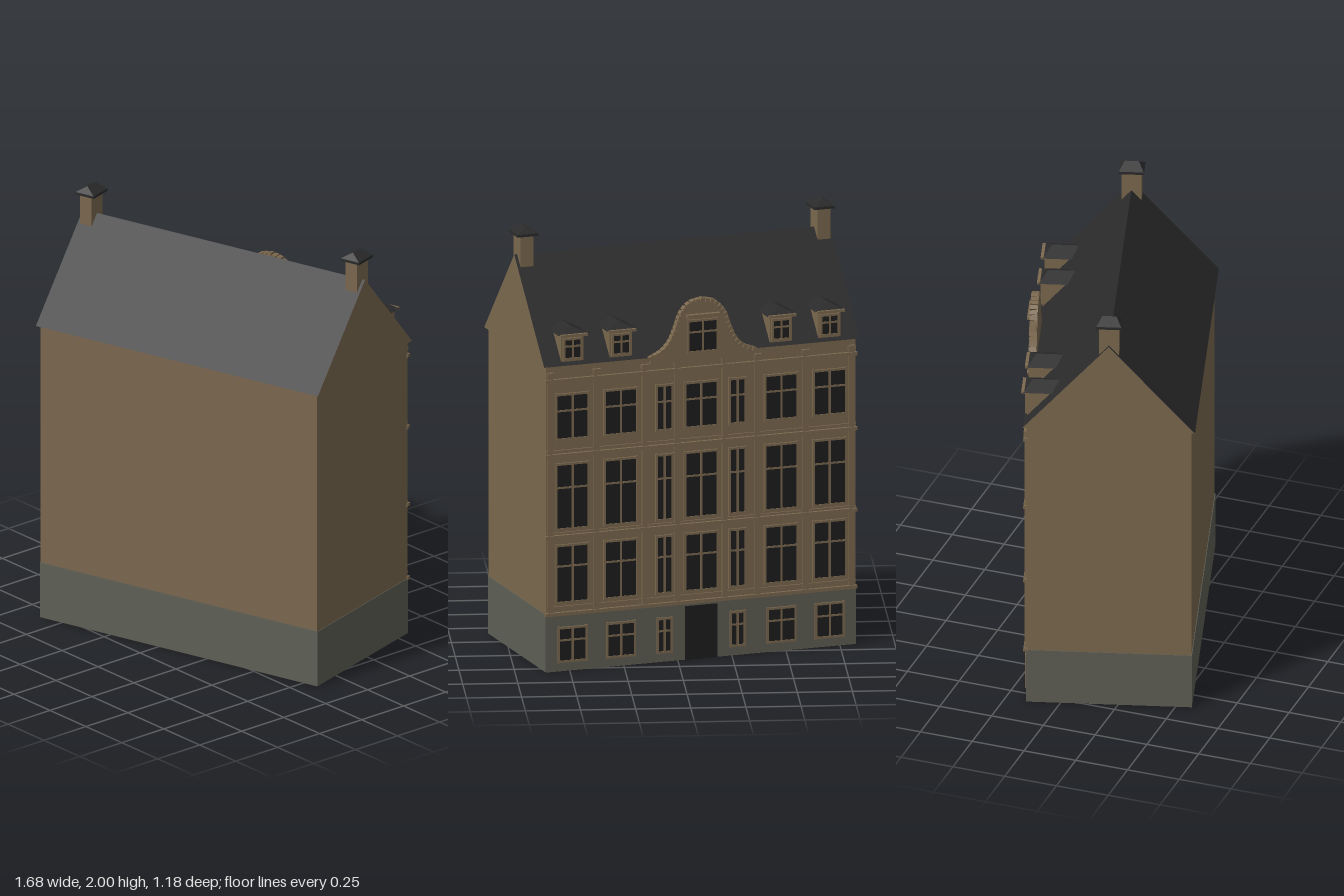
import * as THREE from 'three';
import { ConvexGeometry } from 'three/addons/geometries/ConvexGeometry.js';

const mat = (name, color) => Object.assign(new THREE.MeshStandardMaterial({ color }), { name });

export function createModel() {
  const brick = mat('brown brick', 0x7b684e);
  const stone = mat('grey stone', 0x5e5f55);
  const slate = mat('dark slate', 0x2a2a2a);
  const glass = mat('dark glass', 0x1d1d1f);

  const root = new THREE.Group();
  root.name = 'townHouse';
  const house = new THREE.Group();
  house.name = 'house';
  house.rotation.y = 0.2865; // the house stands turned on its plot
  root.add(house);

  const add = (parent, name, geometry, material, x = 0, y = 0, z = 0) => {
    const m = new THREE.Mesh(geometry, material);
    m.name = name;
    m.position.set(x, y, z);
    parent.add(m);
    return m;
  };
  const box = (parent, name, material, w, h, d, x, y, z) =>
    add(parent, name, new THREE.BoxGeometry(w, h, d), material, x, y, z);
  const group = (parent, name, x = 0, y = 0, z = 0) => {
    const g = new THREE.Group();
    g.name = name;
    g.position.set(x, y, z);
    parent.add(g);
    return g;
  };
  // Hipped roof: base w x d, ridge along z from zBack to zFront
  const hip = (w, d, h, zBack, zFront) => new ConvexGeometry([
    [-w / 2, 0, -d / 2], [w / 2, 0, -d / 2], [-w / 2, 0, d / 2], [w / 2, 0, d / 2],
    [0, h, zBack], [0, h, zFront],
  ].map((p) => new THREE.Vector3(...p)));

  // Walls and stone base
  const L = 1.492, D = 0.747, EAVE = 1.43, RIDGE = 1.865;
  box(house, 'walls', brick, L, EAVE, D, 0, EAVE / 2, 0);
  box(house, 'stoneBase', stone, L + 0.006, 0.267, D + 0.006, 0, 0.1355, 0);

  // Main roof: slate slopes with brown gable ends
  const tri = new THREE.Shape();
  tri.moveTo(-0.391, EAVE);
  tri.lineTo(0.391, EAVE);
  tri.lineTo(0, RIDGE);
  tri.closePath();
  const roofGeo = new THREE.ExtrudeGeometry(tri, { depth: 1.522, bevelEnabled: false });
  roofGeo.translate(0, 0, -0.761).rotateY(Math.PI / 2);
  add(house, 'mainRoof', roofGeo, [brick, slate]);

  // Chimneys at both ends of the ridge
  for (const s of [-1, 1]) {
    const c = group(house, 'chimney', s * 0.716, 0, 0);
    box(c, 'chimneyStack', brick, 0.062, 0.17, 0.091, 0, 1.875, 0);
    box(c, 'chimneyCapSlab', slate, 0.1, 0.012, 0.115, 0, 1.963, 0);
    add(c, 'chimneyCapRoof', hip(0.1, 0.115, 0.032, -0.032, 0.032), slate, 0, 1.968, 0);
  }

  // Facade group: looks towards the back, local +z is outwards
  const facade = group(house, 'facade');
  facade.rotation.y = Math.PI;
  const W = D / 2;

  // Window: glass plate, frame bars and a cross of glazing bars
  const windowAt = (parent, x, y0, y1, w, z) => {
    const h = y1 - y0;
    const g = group(parent, 'window', x, (y0 + y1) / 2, z);
    box(g, 'windowGlass', glass, w, h, 0.006, 0, 0, 0.001);
    for (const s of [-1, 1]) {
      box(g, 'frameSide', brick, 0.01, h + 0.02, 0.012, s * (w / 2 + 0.003), 0, 0.002);
      box(g, 'frameRail', brick, w + 0.016, 0.01, 0.012, 0, s * (h / 2 + 0.003), 0.002);
    }
    box(g, 'mullion', brick, 0.01, h, 0.009, 0, 0, 0.002);
    box(g, 'transom', brick, w, 0.009, 0.009, 0, h * 0.14, 0.002);
  };

  // Window rows
  const columns = [[-0.62, 0.15], [-0.387, 0.15], [-0.176, 0.072], [0, 0.15],
    [0.176, 0.072], [0.387, 0.15], [0.62, 0.15]];
  const floors = [[0.05, 0.2], [0.325, 0.585], [0.668, 0.965], [1.088, 1.29]];
  for (const [x, w] of columns) {
    floors.forEach(([y0, y1], i) => {
      if (i === 0 && x === 0) return; // the door is here
      windowAt(facade, x, y0, y1, i === 0 ? w * 0.85 : w, i === 0 ? W + 0.004 : W + 0.002);
    });
  }
  box(facade, 'door', glass, 0.155, 0.25, 0.008, 0, 0.126, W + 0.004);

  // Horizontal bands between floors
  for (const y of [0.27, 0.63, 1.01, 1.36])
    box(facade, 'floorBand', brick, 1.502, 0.016, 0.022, 0, y, W + 0.004);
  for (const y of [0.305, 0.65, 1.035])
    box(facade, 'sillBand', brick, L, 0.008, 0.012, 0, y - 0.004, W + 0.002);

  // Pilasters with capitals
  for (const x of [0.726, 0.504, 0.272, 0.114]) {
    for (const s of [-1, 1]) {
      box(facade, 'pilaster', brick, 0.026, 1.13, 0.014, s * x, 0.835, W + 0.002);
      box(facade, 'capital', brick, 0.034, 0.02, 0.02, s * x, 1.39, W + 0.004);
    }
  }

  // Curved centre gable with block trim along its edge
  const half = new THREE.CatmullRomCurve3([
    [0.25, 1.43], [0.2, 1.45], [0.155, 1.495], [0.125, 1.56], [0.1, 1.625], [0.058, 1.668], [0, 1.683],
  ].map(([x, y]) => new THREE.Vector3(x, y, 0)));
  const edge = half.getSpacedPoints(16);
  const outline = new THREE.Shape();
  outline.moveTo(-0.25, 1.4);
  outline.lineTo(0.25, 1.4);
  edge.forEach((p) => outline.lineTo(p.x, p.y));
  edge.slice(0, -1).reverse().forEach((p) => outline.lineTo(-p.x, p.y));
  outline.closePath();
  const gable = group(facade, 'centreGable', 0, 0, 0.37);
  add(gable, 'gableWall', new THREE.ExtrudeGeometry(outline, { depth: 0.028, bevelEnabled: false }), brick);
  edge.forEach((p, i) => {
    const t = half.getTangentAt(i / 16);
    for (const s of i === 16 ? [1] : [-1, 1]) {
      const b = box(gable, 'gableTrim', brick, 0.02, 0.018, 0.034, s * p.x, p.y, 0.019);
      b.rotation.z = s * Math.atan2(t.y, t.x);
    }
  });
  windowAt(gable, 0, 1.445, 1.585, 0.135, 0.028);
  box(gable, 'gableCornice', brick, 0.16, 0.014, 0.026, 0, 1.612, 0.036);

  // Dormers
  for (const x of [-0.62, -0.386, 0.386, 0.62]) {
    const d = group(facade, 'dormer', x, 0, 0);
    box(d, 'dormerBody', brick, 0.108, 0.135, 0.13, 0, 1.505, 0.312);
    windowAt(d, 0, 1.462, 1.548, 0.078, 0.379);
    box(d, 'dormerCornice', brick, 0.13, 0.012, 0.035, 0, 1.57, 0.385);
    add(d, 'dormerRoof', hip(0.146, 0.165, 0.034, -0.085, 0.045), slate, 0, 1.572, 0.31);
  }

  return root;
}
